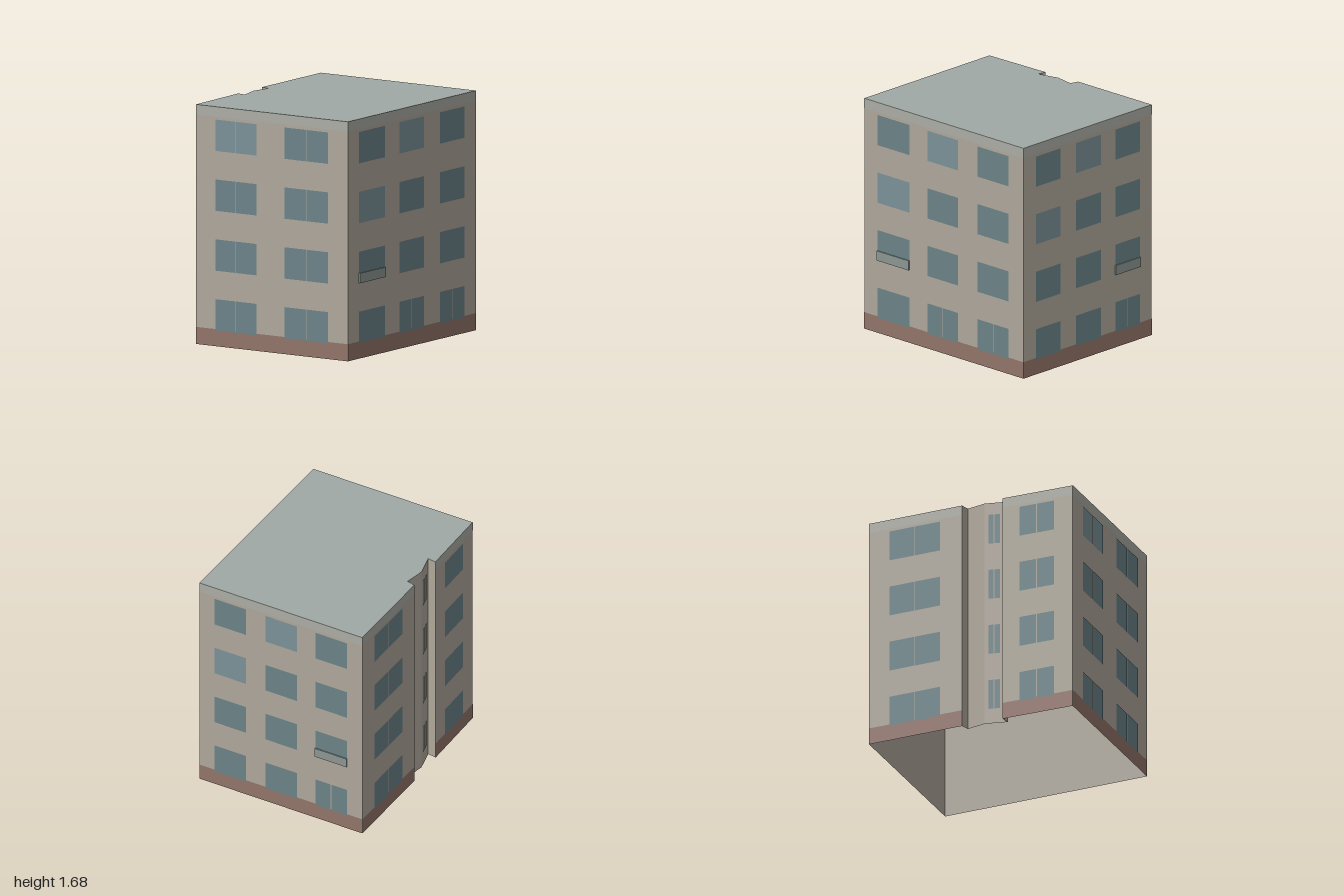
import * as THREE from 'three';

const HEIGHT = 1.68, PLINTH = 0.12, BAND = 0.07;
const FLOORS = [0.11, 0.53, 0.95, 1.37], WINDOW_H = 0.22, GAP = 0.006;

const mat = (color, side = THREE.FrontSide) => new THREE.MeshStandardMaterial({ color, side });
const materials = {
  wall: mat(0xaea79b, THREE.DoubleSide),
  roof: mat(0xa0a9a6, THREE.DoubleSide),
  band: mat(0xabada5),
  plinth: mat(0x92756a),
  glass: mat(0x6b8388),
  lightGlass: mat(0x7a9198),
  balcony: mat(0x8b9692),
};

// Footprint corners (x, z), walked so each wall runs left to right seen from outside.
// windows: [start, end] as fractions of the wall; split / light / balconies: 'floor-column'.
const walls = [
  { at: [-1, -0.105], windows: [[0.129, 0.4], [0.586, 0.871]], split: 'all', light: ['3-0'] },
  { at: [-0.305, 0.95], windows: [[0.085, 0.285], [0.4, 0.592], [0.715, 0.908]],
    split: ['0-1', '0-2'], light: ['3-1', '2-0'], balconies: ['1-0'] },
  { at: [1, 0.13], windows: [[0.093, 0.287], [0.407, 0.602], [0.713, 0.907]],
    split: ['0-2'], light: ['3-1', '2-0'], balconies: ['1-2'] },
  { at: [0.29, -0.95], windows: [[0.224, 0.765]], split: 'all' },
  { at: [-0.31, -0.57], recess: true },
  { at: [-0.289, -0.51], recess: true },
  { at: [-0.4225, -0.457], recess: true, windows: [[0.16, 0.66]], split: 'all' },
  { at: [-0.535, -0.34], recess: true },
  { at: [-0.561, -0.398], windows: [[0.24, 0.736]], split: 'all' },
];

// Flat upright panel in a wall's local frame.
function panel(name, material, x0, x1, y0, y1, z) {
  const mesh = new THREE.Mesh(new THREE.PlaneGeometry(x1 - x0, y1 - y0), material);
  mesh.position.set((x0 + x1) / 2, (y0 + y1) / 2, z);
  mesh.name = name;
  return mesh;
}

function makeWall(wall, next) {
  const [x, z] = wall.at, dx = next.at[0] - x, dz = next.at[1] - z;
  const length = Math.hypot(dx, dz);
  const group = new THREE.Group();
  group.name = wall.recess ? 'recessWall' : 'facade';
  group.position.set(x, 0, z);
  group.rotation.y = Math.atan2(-dz, dx);
  group.add(panel('wall', materials.wall, 0, length, 0, HEIGHT, 0));
  if (!wall.recess) {
    group.add(panel('plinth', materials.plinth, 0, length, 0, PLINTH, 0.002));
    group.add(panel('roofBand', materials.band, 0, length, HEIGHT - BAND, HEIGHT, 0.002));
  }

  const listed = (list, key) => list === 'all' || (list || []).includes(key);
  FLOORS.forEach((y, floor) => (wall.windows || []).forEach(([s, e], column) => {
    const key = `${floor}-${column}`, x0 = s * length, x1 = e * length, mid = (x0 + x1) / 2;
    const glass = listed(wall.light, key) ? materials.lightGlass : materials.glass;
    // Double panes leave a thin strip of wall between them.
    const panes = listed(wall.split, key)
      ? [[x0, mid - GAP / 2], [mid + GAP / 2, x1]] : [[x0, x1]];
    for (const [a, b] of panes) group.add(panel('window', glass, a, b, y, y + WINDOW_H, 0.004));
    // Shallow balcony front across the lower part of the window.
    if (listed(wall.balconies, key)) {
      const front = new THREE.Mesh(new THREE.BoxGeometry(x1 - x0, 0.07, 0.012), materials.balcony);
      front.position.set(mid, y + 0.035, 0.006);
      front.name = 'balcony';
      group.add(front);
    }
  }));
  return group;
}

export function createModel() {
  const model = new THREE.Group();
  model.name = 'apartmentBuilding';
  walls.forEach((wall, i) => model.add(makeWall(wall, walls[(i + 1) % walls.length])));

  // Flat roof following the footprint; the underside stays open.
  const outline = new THREE.Shape(walls.map(({ at: [x, z] }) => new THREE.Vector2(x, -z)));
  const roof = new THREE.Mesh(new THREE.ShapeGeometry(outline).rotateX(-Math.PI / 2), materials.roof);
  roof.position.y = HEIGHT;
  roof.name = 'roof';
  model.add(roof);
  return model;
}
